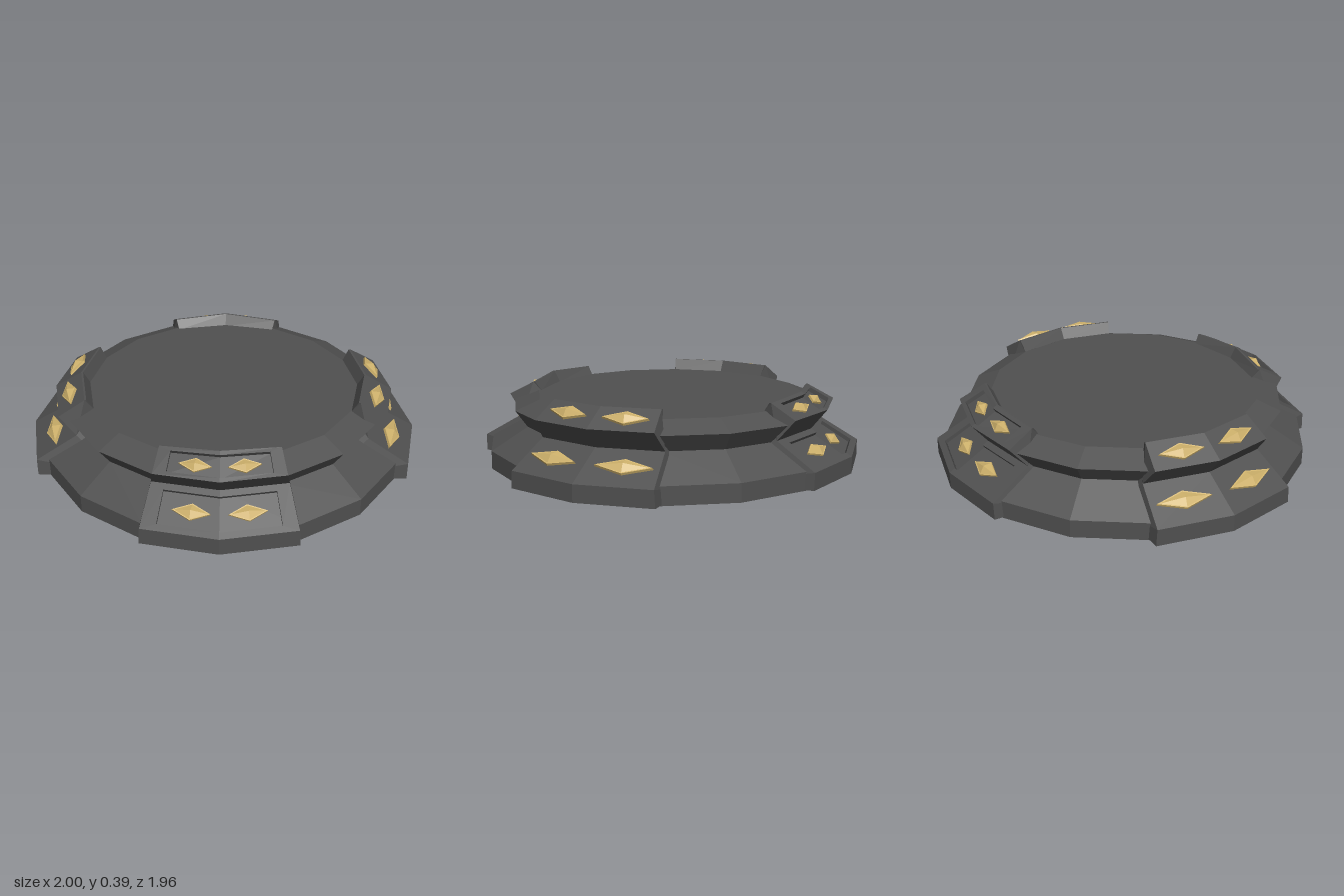
import * as THREE from 'three';

const stone = new THREE.MeshStandardMaterial({ color: 0x505050 });
stone.name = 'darkStone';
const gold = new THREE.MeshStandardMaterial({ color: 0xcfb26c });
gold.name = 'gold';

const SLANT = 0.199; // each block bends back from its middle, like a 16-sided ring
const RECESS = 0.022;
const LOWER = 2, UPPER = 4; // profile strips that carry the studs

// Block cross-section: radius at the middle, height, half width
const PROFILE = [
  [0.6, 0.005, 0.37], [1.0, 0.005, 0.37], [1.0, 0.09, 0.365], [0.79, 0.21, 0.322],
  [0.87, 0.31, 0.308], [0.735, 0.39, 0.282], [0.725, 0.39, 0.28], [0.69, 0.33, 0.265], [0.62, 0.2, 0.265],
];

function flatGeometry(positions) {
  const g = new THREE.BufferGeometry();
  g.setAttribute('position', new THREE.Float32BufferAttribute(positions, 3));
  g.computeVertexNormals();
  return g;
}

// Bent block facing +z, optionally with a sunken panel on each sloping strip
function blockGeometry(profile, recessed) {
  const out = [];
  const tri = (a, b, c) => [a, b, c].forEach((p) => out.push(p.x, p.y, p.z));
  const quad = (a, b, c, d) => { tri(a, b, c); tri(a, c, d); };
  const point = ([r, y, w], s) => {
    const drop = recessed && y > 0.36 ? 0.012 * Math.abs(s) : 0;
    return new THREE.Vector3(s * w, y - drop, r - SLANT * w * Math.abs(s));
  };
  const n = profile.length;
  for (let i = 0; i < n; i++) {
    const p = profile[i], q = profile[(i + 1) % n];
    for (const s of [-1, 0]) {
      const a = point(p, s), b = point(p, s + 1), c = point(q, s + 1), d = point(q, s);
      if (!recessed || (i !== LOWER && i !== UPPER)) { quad(a, b, c, d); continue; }
      // Frame, walls and floor of the panel
      const at = (u, v) => a.clone().lerp(b, u).lerp(d.clone().lerp(c, u), v);
      const u0 = s < 0 ? 0.2 : 0, u1 = s < 0 ? 1 : 0.8, v0 = 0.14, v1 = 0.86;
      const rim = [at(u0, v0), at(u1, v0), at(u1, v1), at(u0, v1)];
      const inward = new THREE.Vector3(0, q[0] - p[0], p[1] - q[1]).setLength(RECESS);
      const floor = rim.map((k) => k.clone().add(inward));
      quad(a, b, rim[1], rim[0]);
      quad(rim[3], rim[2], c, d);
      if (s < 0) quad(a, rim[0], rim[3], d);
      else quad(rim[1], b, c, rim[2]);
      const open = s < 0 ? 1 : 3; // the two halves join here
      for (let k = 0; k < 4; k++) {
        const m = (k + 1) % 4;
        if (k !== open) quad(rim[k], rim[m], floor[m], floor[k]);
      }
      quad(...floor);
    }
  }
  // End caps
  const faces = THREE.ShapeUtils.triangulateShape(profile.map(([r, y]) => new THREE.Vector2(r, y)), []);
  for (const [i, j, k] of faces) {
    tri(point(profile[i], -1), point(profile[j], -1), point(profile[k], -1));
    tri(point(profile[k], 1), point(profile[j], 1), point(profile[i], 1));
  }
  return flatGeometry(out);
}

// Diamond stud: thin plate with a four-sided point
function makeStud(length, width) {
  const stud = new THREE.Group();
  stud.name = 'diamondStud';
  const plate = new THREE.Mesh(new THREE.CylinderGeometry(0.97, 1, 0.012, 4).toNonIndexed(), gold);
  plate.name = 'studPlate';
  plate.position.y = 0.006;
  const tip = new THREE.Mesh(new THREE.CylinderGeometry(0, 0.84, 0.02, 4).toNonIndexed(), gold);
  tip.name = 'studPoint';
  tip.position.y = 0.022;
  for (const m of [plate, tip]) {
    m.geometry.computeVertexNormals();
    m.scale.set(length, 1, width);
    stud.add(m);
  }
  return stud;
}

function placeStud(block, profile, strip, x, length, width, sink) {
  const p = profile[strip], q = profile[strip + 1];
  const t = new THREE.Vector3(1, 0, -SLANT * Math.sign(x)).normalize();
  const normal = t.clone().cross(new THREE.Vector3(0, q[1] - p[1], q[0] - p[0])).normalize();
  const stud = makeStud(length, width);
  stud.quaternion.setFromRotationMatrix(
    new THREE.Matrix4().makeBasis(t, normal, t.clone().cross(normal)));
  stud.position.set(x, (p[1] + q[1]) / 2, (p[0] + q[0]) / 2 - SLANT * Math.abs(x));
  stud.position.addScaledVector(normal, -sink);
  block.add(stud);
}

export function createModel() {
  const model = new THREE.Group();
  model.name = 'roundPedestal';

  // Two-tier sixteen-sided base
  const outline = [[0, 0], [0.94, 0], [0.94, 0.09], [0.755, 0.2], [0.815, 0.285], [0.69, 0.335], [0, 0.335]]
    .map(([r, y]) => new THREE.Vector2(r, y));
  const baseGeometry = new THREE.LatheGeometry(outline, 16).toNonIndexed();
  baseGeometry.computeVertexNormals();
  const base = new THREE.Mesh(baseGeometry, stone);
  base.name = 'tieredBase';
  model.add(base);

  // Four studded blocks: sunken panels front and back, flat ones at the sides
  ['frontBlock', 'leftBlock', 'backBlock', 'rightBlock'].forEach((name, i) => {
    const recessed = i % 2 === 0;
    const profile = PROFILE.map(([r, y, w]) => [recessed ? r - 0.02 : r, y, w]);
    const block = new THREE.Group();
    block.name = name;
    const body = new THREE.Mesh(blockGeometry(profile, recessed), stone);
    body.name = 'blockBody';
    block.add(body);
    for (const side of [-1, 1]) {
      if (recessed) {
        placeStud(block, profile, LOWER, side * 0.132, 0.094, 0.042, RECESS);
        placeStud(block, profile, UPPER, side * 0.115, 0.08, 0.036, RECESS + 0.004);
      } else {
        placeStud(block, profile, LOWER, side * 0.182, 0.138, 0.046, 0);
        placeStud(block, profile, UPPER, side * 0.148, 0.112, 0.042, 0);
      }
    }
    block.rotation.y = i * Math.PI / 2;
    model.add(block);
  });
  return model;
}
